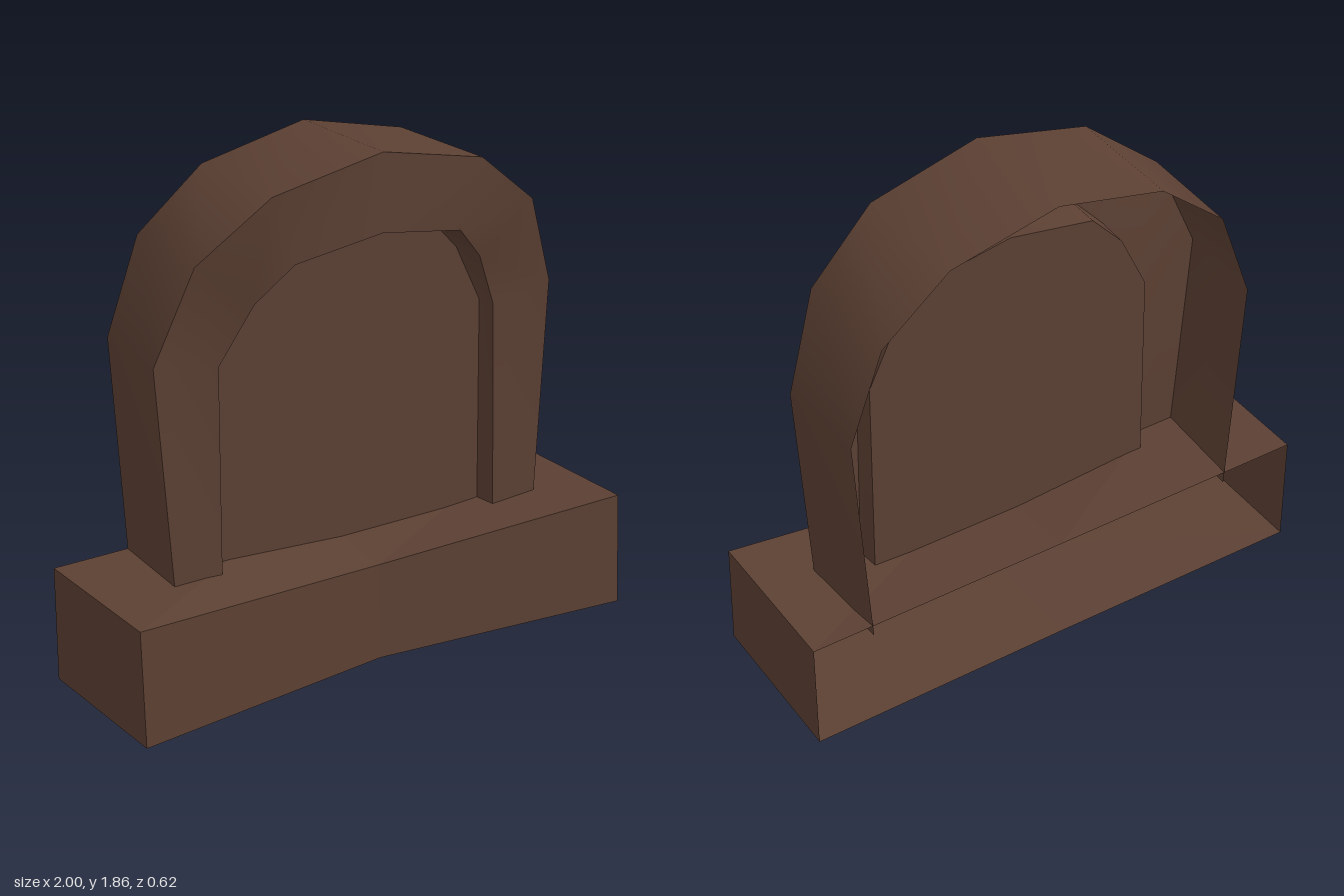
import * as THREE from 'three';

// Surface strip between two matching point rows; smooth within, sharp at its borders
function strip(a, b, flat = false) {
  const idx = [];
  const n = a.length;
  for (let i = 0; i < n - 1; i++) idx.push(i, n + i, i + 1, i + 1, n + i, n + i + 1);
  let g = new THREE.BufferGeometry();
  g.setAttribute('position', new THREE.Float32BufferAttribute([...a, ...b].flat(), 3));
  g.setIndex(idx);
  if (flat) g = g.toNonIndexed();
  g.computeVertexNormals();
  return g;
}

export function createModel() {
  const model = new THREE.Group();
  model.name = 'archedNiche';
  const brown = new THREE.MeshStandardMaterial({ color: 0x5c4033, side: THREE.DoubleSide });
  brown.name = 'darkBrown';
  const add = (parent, name, geometry) => {
    const mesh = new THREE.Mesh(geometry, brown);
    mesh.name = name;
    parent.add(mesh);
  };

  // Half profiles from foot to crown: distance from the arch axis, height, front depth
  const axis = 0.03, backZ = -0.31, panelZ = -0.03;
  const outerHalf = [[0.76, 0.38, 0.055], [0.815, 1.22, 0.042], [0.685, 1.56, 0.1], [0.422, 1.765, 0.155], [0, 1.855, 0.175]];
  const innerHalf = [[0.575, 0.38, 0.055], [0.567, 1.175, 0.042], [0.46, 1.39, 0.1], [0.335, 1.52, 0.155], [0, 1.575, 0.175]];
  const mirror = (half) => [
    ...half.map(([d, y, z]) => [axis - d, y, z]),
    ...half.slice(0, -1).reverse().map(([d, y, z]) => [axis + d, y, z]),
  ];
  const outer = mirror(outerHalf);
  const inner = mirror(innerHalf);
  const outerBack = outer.map(([x, y]) => [axis + (x - axis) * 0.97, y, backZ]);
  const panelEdge = inner.map(([x, y]) => [axis + (x - axis) * 0.985, y, panelZ]);

  // Arch shell, open at the back
  const arch = new THREE.Group();
  arch.name = 'arch';
  add(arch, 'archFront', strip(outer, inner));
  add(arch, 'archOuterWall', strip(outerBack, outer));
  add(arch, 'archReveal', strip(inner, panelEdge));
  const panel = new THREE.ShapeGeometry(new THREE.Shape(panelEdge.map(([x, y]) => new THREE.Vector2(x, y))));
  panel.translate(0, 0, panelZ);
  add(arch, 'nichePanel', panel);
  model.add(arch);

  // Plinth with a front notched toward the middle, open at the back
  const topFront = [[-1, 0.43, 0.29], [0, 0.375, 0.2], [1, 0.43, 0.29]];
  const bottomFront = [[-1, 0.01, 0.31], [0, 0.02, 0.215], [1, 0.01, 0.31]];
  const topBack = [[-1, 0.425, backZ], [0, 0.425, backZ], [1, 0.425, backZ]];
  const bottomBack = [[-1, 0, backZ], [0, 0.005, backZ], [1, 0, backZ]];
  const plinth = new THREE.Group();
  plinth.name = 'plinth';
  add(plinth, 'plinthFront', strip(topFront, bottomFront, true));
  add(plinth, 'plinthTop', strip(topBack, topFront, true));
  add(plinth, 'plinthBottom', strip(bottomFront, bottomBack, true));
  add(plinth, 'plinthLeftSide', strip([topFront[2], topBack[2]], [bottomFront[2], bottomBack[2]]));
  add(plinth, 'plinthRightSide', strip([topBack[0], topFront[0]], [bottomBack[0], bottomFront[0]]));
  model.add(plinth);

  return model;
}
